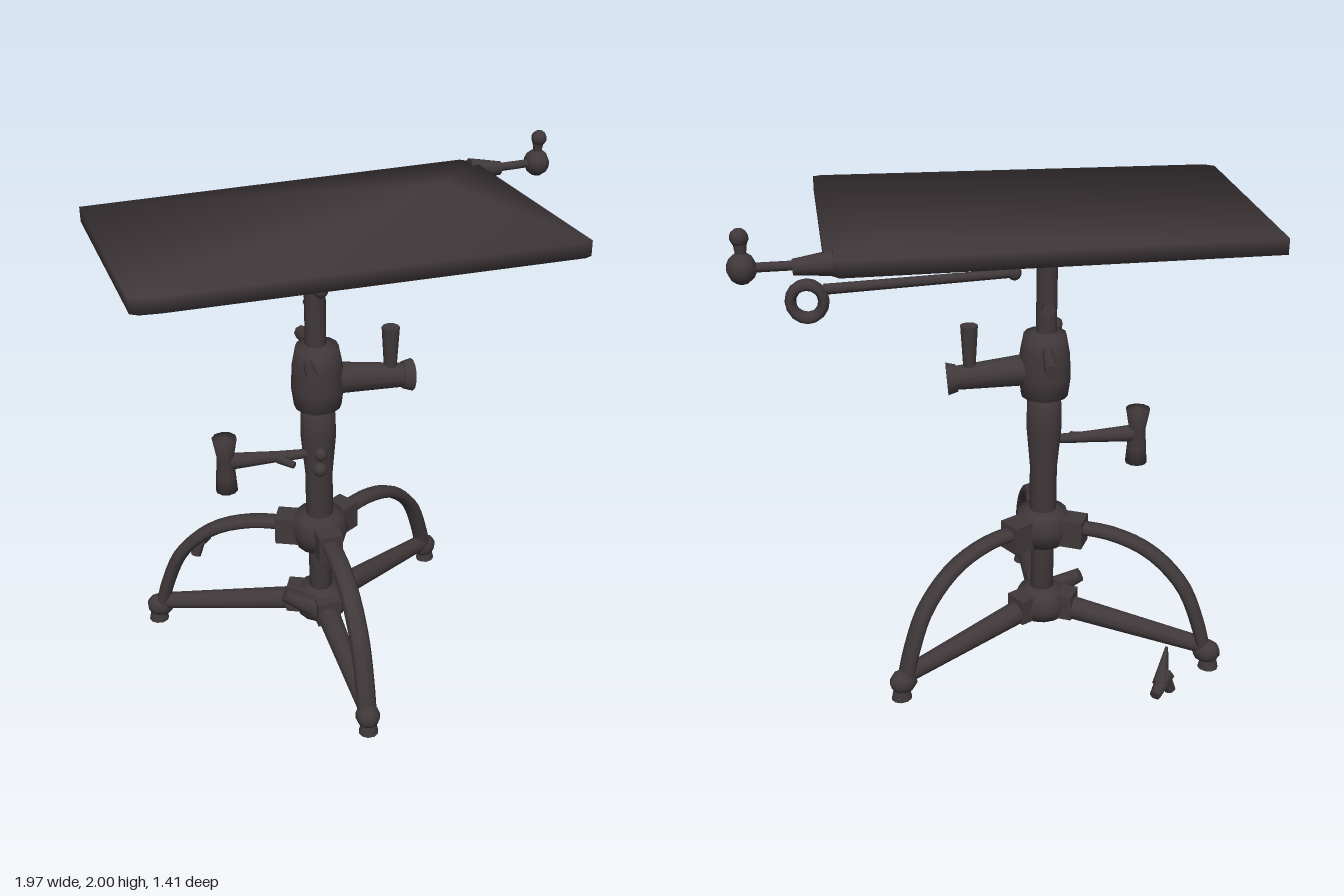
import * as THREE from 'three';

const iron = new THREE.MeshStandardMaterial({ color: 0x40383a });
iron.name = 'dark iron';
const V = (x, y, z) => new THREE.Vector3(x, y, z);
const CX = -0.17, CZ = -0.05; // column axis

function add(parent, name, geo, pos) {
  const m = new THREE.Mesh(geo, iron);
  m.name = name;
  if (pos) m.position.copy(pos);
  parent.add(m);
  return m;
}

// Round bar from a to b, tapering from r0 to r1
function rod(parent, name, a, b, r0, r1 = r0, sides = 10) {
  const d = b.clone().sub(a);
  const m = add(parent, name, new THREE.CylinderGeometry(r1, r0, d.length(), sides), a.clone().add(b).multiplyScalar(0.5));
  m.quaternion.setFromUnitVectors(V(0, 1, 0), d.normalize());
  return m;
}

// Turned part from [radius, y] pairs
const turned = (parent, name, pts, pos, sides = 14) =>
  add(parent, name, new THREE.LatheGeometry(pts.map(p => new THREE.Vector2(...p)), sides), pos);

function knob(parent, name, r, pos, sx = 1, sy = 1, sz = 1) {
  const m = add(parent, name, new THREE.SphereGeometry(r, 10, 7), pos);
  m.scale.set(sx, sy, sz);
  return m;
}

// Slightly skewed, tilted slab with rolled edge normals
function tableTop() {
  const outline = [[-0.99, -0.49], [0.6, -0.62], [0.65, -0.57], [0.73, 0.43], [0.7, 0.445], [-0.82, 0.495], [-0.9, 0.49], [-0.93, 0.47]];
  const n = outline.length, pos = [], nor = [], idx = [];
  for (const up of [1, -1]) {
    for (const [x, z] of outline) {
      pos.push(x, up > 0 ? 1.91 + 0.035 * z : 1.85 + 0.036 * z, z);
      const v = V(Math.sign(x), up, Math.sign(z)).normalize();
      nor.push(v.x, v.y, v.z);
    }
  }
  pos.push(0.45, 1.89, -0.36, CX, 1.82, CZ); // top hollow, underside boss
  nor.push(0, 1, 0, 0, -1, 0);
  for (let i = 0; i < n; i++) {
    const j = (i + 1) % n;
    idx.push(2 * n, j, i, 2 * n + 1, n + i, n + j, i, j, n + j, i, n + j, n + i);
  }
  const g = new THREE.BufferGeometry();
  g.setAttribute('position', new THREE.Float32BufferAttribute(pos, 3));
  g.setAttribute('normal', new THREE.Float32BufferAttribute(nor, 3));
  g.setIndex(idx);
  return g;
}

// Arched leg with its low stretcher and foot, pointing along +x
function leg(dx, dz) {
  const g = new THREE.Group();
  g.name = 'leg';
  const path = new THREE.CatmullRomCurve3([[0.08, 0.56], [0.28, 0.555], [0.43, 0.5], [0.56, 0.37], [0.63, 0.2], [0.66, 0.08]].map(p => V(p[0], p[1], 0)));
  add(g, 'legArch', new THREE.TubeGeometry(path, 18, 0.027, 8)).scale.z = 1.5;
  rod(g, 'stretcher', V(0.06, 0.18, 0), V(0.65, 0.1, 0), 0.052, 0.036);
  add(g, 'upperSocket', new THREE.BoxGeometry(0.1, 0.12, 0.1), V(0.12, 0.545, 0));
  add(g, 'lowerSocket', new THREE.BoxGeometry(0.09, 0.11, 0.1), V(0.09, 0.19, 0));
  knob(g, 'footKnob', 0.05, V(0.67, 0.075, 0), 1.1, 1, 1);
  rod(g, 'footPad', V(0.68, 0.0, 0), V(0.68, 0.05, 0), 0.04, 0.03);
  g.position.set(CX, 0, CZ);
  g.rotation.y = Math.atan2(-dz, dx);
  g.scale.x = Math.hypot(dx, dz) / 0.68;
  return g;
}

export function createModel() {
  const root = new THREE.Group();
  root.name = 'adjustableTable';
  const axis = V(CX, 0, CZ);

  add(root, 'tableTop', tableTop());

  // Base
  for (const [dx, dz] of [[0.02, 0.67], [-0.67, -0.29], [0.61, -0.41]]) root.add(leg(dx, dz));
  turned(root, 'upperHub', [[0.045, 0.46], [0.1, 0.48], [0.12, 0.55], [0.1, 0.62], [0.05, 0.63]], axis);
  turned(root, 'lowerHub', [[0.03, 0.15], [0.045, 0.12], [0.1, 0.13], [0.12, 0.18], [0.1, 0.24], [0.045, 0.26]], axis);
  rod(root, 'hubLug', V(-0.34, 0.27, 0.0), V(-0.22, 0.2, 0.02), 0.03, 0.045, 7);

  // Column
  turned(root, 'column', [[0, 0.15], [0.048, 0.15], [0.048, 0.48], [0.056, 0.62], [0.056, 0.82], [0.072, 1.0], [0.068, 1.14], [0, 1.15]], axis);
  turned(root, 'clampBody', [[0.06, 1.13], [0.095, 1.14], [0.105, 1.22], [0.1, 1.32], [0.085, 1.4], [0.035, 1.41]], axis);
  rod(root, 'upperShaft', V(CX - 0.005, 1.36, CZ), V(CX - 0.005, 1.84, CZ), 0.042);
  turned(root, 'shaftHead', [[0.04, 1.68], [0.06, 1.7], [0.06, 1.75], [0.045, 1.77], [0.05, 1.81], [0.08, 1.835]], axis);

  // Side arm of the clamp with upright handle
  const arm = new THREE.Group();
  arm.name = 'clampArm';
  root.add(arm);
  rod(arm, 'armBar', V(-0.12, 1.25, CZ), V(0.19, 1.22, CZ), 0.065, 0.048, 12);
  rod(arm, 'armEnd', V(0.18, 1.22, CZ), V(0.22, 1.217, CZ), 0.055, 0.066, 12);
  rod(arm, 'armHandle', V(0.13, 1.24, CZ), V(0.13, 1.44, CZ), 0.024, 0.036);

  // Clamp screws, front and back
  rod(root, 'frontScrew', V(-0.22, 1.36, 0), V(-0.24, 1.37, 0.15), 0.018, 0.024, 8);
  rod(root, 'backScrew', V(CX, 1.36, -0.1), V(CX, 1.335, -0.31), 0.018, 0.03, 8);
  rod(root, 'shaftPeg', V(CX, 1.52, -0.07), V(CX, 1.535, -0.17), 0.018, 0.025, 8);
  rod(root, 'headScrew', V(CX, 1.71, -0.14), V(-0.2, 1.72, 0.12), 0.03, 0.022, 8);
  knob(root, 'headScrewKnob', 0.03, V(-0.2, 1.72, 0.14));
  rod(root, 'headPin', V(CX, 1.725, CZ), V(-0.06, 1.725, CZ), 0.025, 0.016, 8);
  rod(root, 'tiltBracket', V(-0.13, 1.83, -0.16), V(-0.1, 1.73, -0.23), 0.03, 0.018, 7);

  // Crank handle at the right of the column
  const crank = new THREE.Group();
  crank.name = 'crank';
  root.add(crank);
  rod(crank, 'crankRod', V(-0.2, 0.93, -0.03), V(-0.35, 0.935, -0.03), 0.018, 0.024);
  rod(crank, 'crankCollar', V(-0.33, 0.935, -0.03), V(-0.54, 0.945, -0.03), 0.022, 0.035);
  turned(crank, 'crankGrip', [[0, -0.12], [0.045, -0.12], [0.04, -0.05], [0.034, 0.03], [0.05, 0.12], [0, 0.125]], V(-0.557, 0.935, -0.03), 10);
  rod(crank, 'crankTab', V(-0.34, 0.93, -0.02), V(-0.29, 0.92, 0.03), 0.02, 0.014, 6);
  knob(crank, 'upperStud', 0.028, V(-0.18, 0.95, 0.025));
  knob(crank, 'lowerStud', 0.03, V(-0.18, 0.87, 0.01));

  // Ring-ended tilt rod under the top
  const tilt = new THREE.Group();
  tilt.name = 'ringRod';
  root.add(tilt);
  rod(tilt, 'tiltRod', V(-0.03, 1.73, -0.3), V(0.67, 1.705, -0.36), 0.017, 0.02);
  knob(tilt, 'tiltRodEnd', 0.028, V(-0.025, 1.73, -0.3));
  add(tilt, 'ring', new THREE.TorusGeometry(0.06, 0.021, 8, 16), V(0.73, 1.665, -0.37)).scale.set(1, 1.05, 1.7);

  // Corner screw with upright thumb piece
  const screw = new THREE.Group();
  screw.name = 'cornerScrew';
  root.add(screw);
  rod(screw, 'screwCollar', V(0.62, 1.865, -0.56), V(0.76, 1.855, -0.565), 0.045, 0.028);
  rod(screw, 'screwRod', V(0.74, 1.86, -0.56), V(0.92, 1.86, -0.58), 0.017);
  knob(screw, 'screwKnob', 0.056, V(0.93, 1.86, -0.58), 0.95, 1, 1.1);
  rod(screw, 'thumbStem', V(0.93, 1.89, -0.58), V(0.93, 1.96, -0.575), 0.016, 0.026, 8);
  knob(screw, 'thumbEnd', 0.033, V(0.932, 1.966, -0.575));

  // Loose fragment behind the base
  const shard = new THREE.Group();
  shard.name = 'looseFragment';
  root.add(shard);
  rod(shard, 'fragmentSpike', V(-0.57, 0.16, -0.68), V(-0.61, 0.26, -0.575), 0.034, 0.006, 6);
  rod(shard, 'fragmentTail', V(-0.54, 0.14, -0.73), V(-0.6, 0.18, -0.64), 0.022, 0.034, 6);
  rod(shard, 'fragmentFoot', V(-0.62, 0.1, -0.63), V(-0.59, 0.18, -0.65), 0.024, 0.028, 6);

  return root;
}
